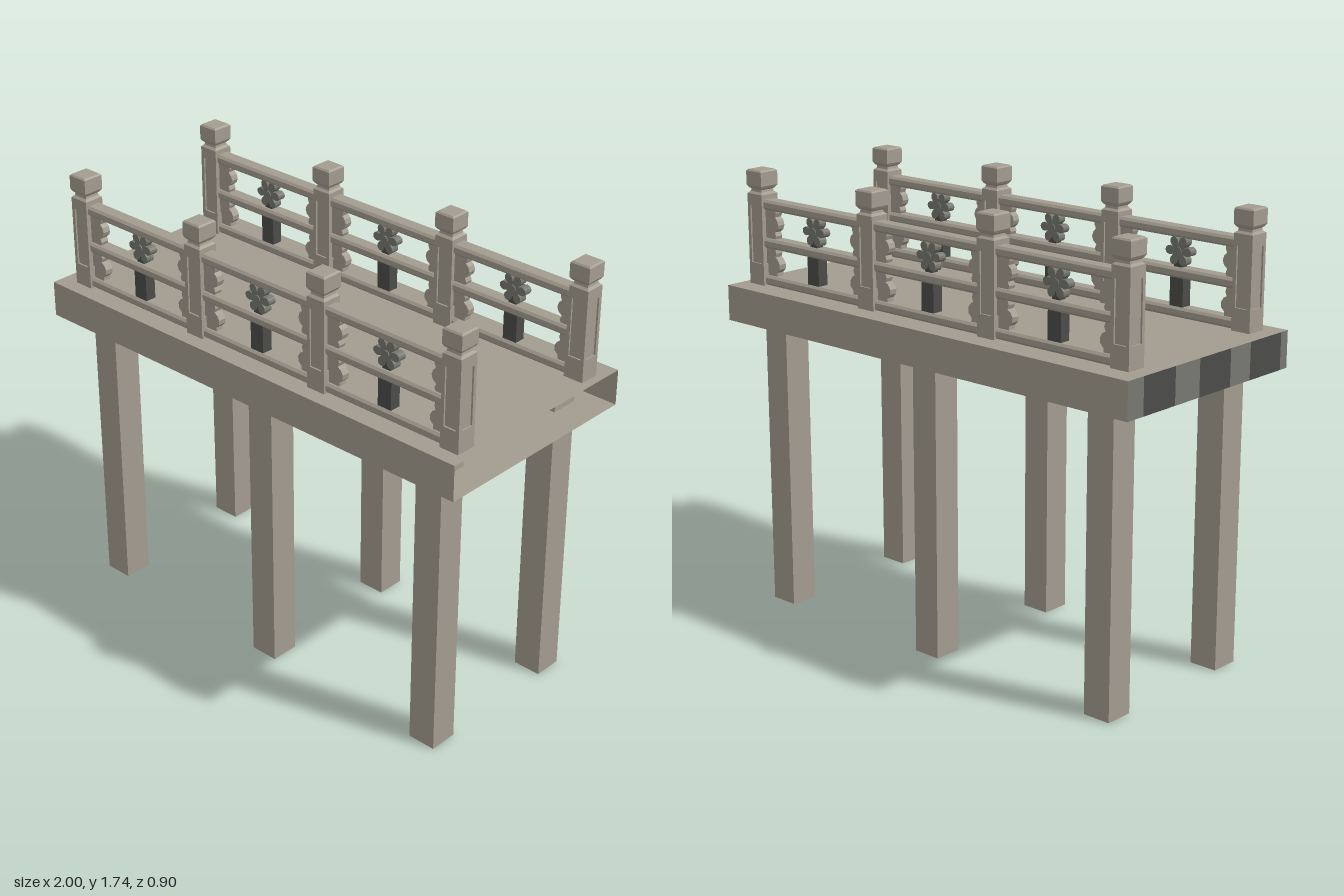
import * as THREE from 'three';

const mat = (name, color, side = THREE.FrontSide) => {
  const m = new THREE.MeshStandardMaterial({ color, side });
  m.name = name;
  return m;
};

export function createModel() {
  const stone = mat('stone', 0xa39c90, THREE.DoubleSide);
  const grey = mat('grey stone', 0x777870, THREE.DoubleSide);
  const dark = mat('dark stone', 0x4c4c49, THREE.DoubleSide);
  const model = new THREE.Group();
  model.name = 'bridgeSection';

  const add = (parent, name, geo, material, x = 0, y = 0, z = 0) => {
    const m = new THREE.Mesh(geo, material);
    m.name = name;
    m.position.set(x, y, z);
    parent.add(m);
    return m;
  };

  // Box without some sides (0 +x, 1 -x, 2 +y, 3 -y, 4 +z, 5 -z)
  const openBox = (w, h, d, skip) => {
    const g = new THREE.BoxGeometry(w, h, d);
    g.setIndex(Array.from(g.index.array).filter((_, i) => !skip.includes(Math.floor(i / 6))));
    g.clearGroups();
    return g;
  };

  // Deck slab, hollow and open at the +x end
  add(model, 'deck', openBox(2, 0.14, 0.9, [0, 1]), stone, 0, 1.22, 0);

  // Banded plate closing the -x end
  const bands = [0.45, 0.41, 0.228, 0.113, -0.062, -0.196, -0.366, -0.45];
  for (let i = 0; i < bands.length - 1; i++) {
    const g = new THREE.PlaneGeometry(bands[i] - bands[i + 1], 0.14).rotateY(-Math.PI / 2);
    add(model, 'endBand', g, i % 2 ? dark : grey, -1, 1.22, (bands[i] + bands[i + 1]) / 2);
  }

  // Square legs with open feet, reaching slightly into the deck
  const legGeo = openBox(0.114, 1.17, 0.114, [3]);
  for (const x of [-0.82, 0.016, 0.819])
    for (const z of [0.305, -0.313]) add(model, 'leg', legGeo, stone, x, 0.585, z);

  // Post cap: neck, flare and chamfered square block
  const h = Math.SQRT2;
  const capGeo = new THREE.LatheGeometry([
    [0.04, 1.64], [0.04, 1.645], [0.031, 1.653], [0.029, 1.662], [0.036, 1.668], [0.042, 1.678],
    [0.042, 1.732], [0.036, 1.738], [0, 1.738],
  ].map(([r, y]) => new THREE.Vector2(r * h, y)), 4, Math.PI / 4).toNonIndexed();
  capGeo.computeVertexNormals();

  const makePost = () => {
    const post = new THREE.Group();
    post.name = 'post';
    const w = 0.081;
    add(post, 'postBase', new THREE.BoxGeometry(w, 0.085, w), stone, 0, 1.3325, 0);
    add(post, 'postCore', new THREE.BoxGeometry(w - 0.014, 0.24, w - 0.014), stone, 0, 1.4875, 0);
    add(post, 'postHead', new THREE.BoxGeometry(w, 0.045, w), stone, 0, 1.6225, 0);
    // Corner strips leave a sunken panel on every side
    for (const sx of [-1, 1])
      for (const sz of [-1, 1])
        add(post, 'postCorner', new THREE.BoxGeometry(0.014, 0.225, 0.014), stone,
          sx * (w / 2 - 0.007), 1.4875, sz * (w / 2 - 0.007));
    add(post, 'postCap', capGeo, stone);
    return post;
  };

  // Chamfered rail running along x
  const rail = (len) => {
    const a = 0.032, b = 0.019, c = 0.009;
    const s = new THREE.Shape([
      [-a + c, -b], [a - c, -b], [a, -b + c], [a, b - c],
      [a - c, b], [-a + c, b], [-a, b - c], [-a, -b + c],
    ].map(p => new THREE.Vector2(...p)));
    return new THREE.ExtrudeGeometry(s, { depth: len, bevelEnabled: false })
      .translate(0, 0, -len / 2).rotateY(Math.PI / 2);
  };
  const plate = (shape, depth) => new THREE.ExtrudeGeometry(shape,
    { depth, bevelEnabled: false, curveSegments: 6 }).translate(0, 0, -depth / 2);

  // Scalloped bracket; the profile is measured from the post face
  const bracketShape = (y0, height, profile) => {
    const s = new THREE.Shape();
    s.moveTo(-0.01, y0);
    profile.forEach(([u, v]) => s.lineTo(u, y0 + v * height));
    s.lineTo(-0.01, y0 + height);
    return s;
  };
  const upperBracket = plate(bracketShape(1.474, 0.116,
    [[0.045, 0], [0.05, 0.12], [0.043, 0.25], [0.058, 0.36], [0.064, 0.5], [0.058, 0.66],
      [0.046, 0.76], [0.052, 0.88], [0.052, 1]]), 0.032);
  const lowerBracket = plate(bracketShape(1.328, 0.112,
    [[0.05, 0], [0.05, 0.15], [0.064, 0.28], [0.066, 0.45], [0.056, 0.6], [0.042, 0.68],
      [0.048, 0.82], [0.042, 1]]), 0.032);

  // Six-petal flower outline
  const flowerShape = new THREE.Shape();
  for (let i = 0; i < 48; i++) {
    const t = (i / 48) * Math.PI * 2;
    const r = 0.026 + 0.032 * Math.pow(Math.abs(Math.cos(3 * t)), 0.6);
    flowerShape[i ? 'lineTo' : 'moveTo'](Math.cos(t) * r, Math.sin(t) * r);
  }
  const flowerGeo = plate(flowerShape, 0.034);

  const postX = [-0.893, -0.285, 0.32, 0.925];
  const makeRailing = () => {
    const g = new THREE.Group();
    g.name = 'railing';
    postX.forEach(x => {
      const p = makePost();
      p.position.x = x;
      g.add(p);
    });
    for (let i = 0; i < 3; i++) {
      const mid = (postX[i] + postX[i + 1]) / 2, span = postX[i + 1] - postX[i];
      const bar = rail(span - 0.07);
      for (const y of [1.607, 1.457, 1.311]) add(g, 'rail', bar, stone, mid, y, 0);
      // Brackets mirrored at both ends of the bay
      for (const s of [-1, 1])
        for (const b of [upperBracket, lowerBracket])
          add(g, 'bracket', b, stone, mid + s * (span / 2 - 0.04), 0, 0)
            .rotation.y = s > 0 ? Math.PI : 0;
      // Centre ornament
      add(g, 'flower', flowerGeo, grey, mid, 1.535, 0);
      add(g, 'flowerStem', new THREE.BoxGeometry(0.036, 0.045, 0.03), dark, mid, 1.49, 0);
      add(g, 'flowerCentre', new THREE.CylinderGeometry(0.015, 0.017, 0.042, 8).rotateX(Math.PI / 2),
        grey, mid, 1.535, 0);
      add(g, 'baluster', new THREE.BoxGeometry(0.06, 0.116, 0.044), dark, mid, 1.384, 0);
    }
    return g;
  };
  for (const z of [0.35, -0.325]) {
    const r = makeRailing();
    r.position.z = z;
    model.add(r);
  }
  return model;
}
